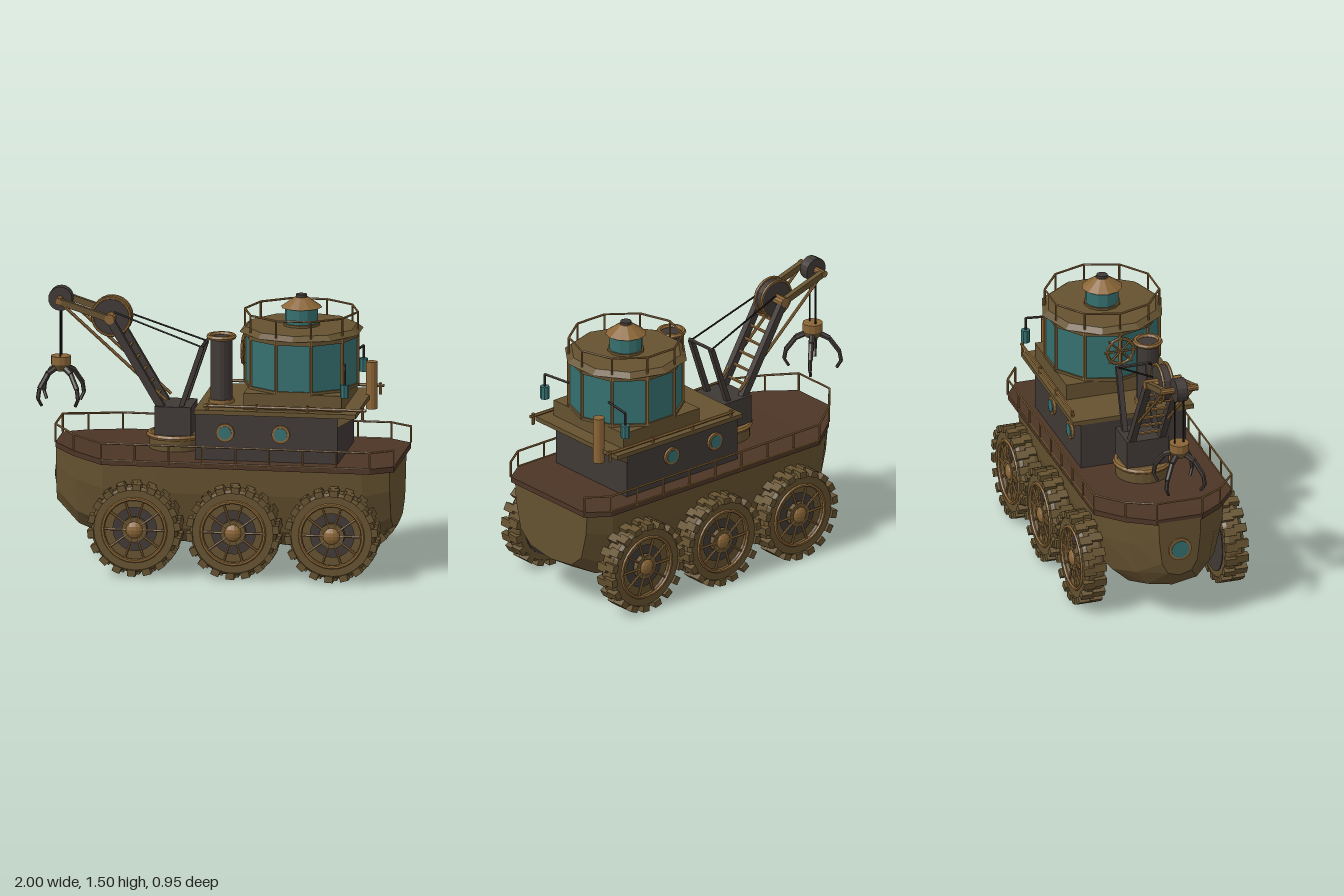
import * as THREE from 'three';

const M = {};
for (const [name, color] of Object.entries({
  bronze: 0x655230, brass: 0x8a6536, iron: 0x403936, deckBrown: 0x4c3526, glass: 0x35706f, cable: 0x1f1c1a,
})) { M[name] = new THREE.MeshStandardMaterial({ color }); M[name].name = name; }

const V = (x, y, z) => new THREE.Vector3(x, y, z);
function flat(g) {
  const f = g.index ? g.toNonIndexed() : g;
  f.computeVertexNormals();
  return f;
}
function add(parent, name, geo, mat, x = 0, y = 0, z = 0) {
  const m = new THREE.Mesh(flat(geo), mat);
  m.name = name;
  m.position.set(x, y, z);
  parent.add(m);
  return m;
}
const box = (p, n, mat, x0, x1, y0, y1, z0, z1) =>
  add(p, n, new THREE.BoxGeometry(x1 - x0, y1 - y0, z1 - z0), mat, (x0 + x1) / 2, (y0 + y1) / 2, (z0 + z1) / 2);
const cyl = (p, n, mat, x, z, y0, y1, rBottom, rTop = rBottom, sides = 12) =>
  add(p, n, new THREE.CylinderGeometry(rTop, rBottom, y1 - y0, sides), mat, x, (y0 + y1) / 2, z);
// straight round bar between two points
function rod(p, n, mat, a, b, r, sides = 6) {
  const d = b.clone().sub(a);
  const m = add(p, n, new THREE.CylinderGeometry(r, r, d.length(), sides), mat);
  m.position.copy(a).add(b).multiplyScalar(0.5);
  m.quaternion.setFromUnitVectors(V(0, 1, 0), d.normalize());
  return m;
}
// disc whose axis is z
function disc(p, n, mat, x, y, z, r, w, sides = 16) {
  const m = add(p, n, new THREE.CylinderGeometry(r, r, w, sides), mat, x, y, z);
  m.rotation.x = Math.PI / 2;
  return m;
}
// closed skin over cross-sections that advance along +x
function loft(sections) {
  const n = sections[0].length, idx = [], last = (sections.length - 1) * n;
  for (let i = 0; i < sections.length - 1; i++) for (let j = 0; j < n; j++) {
    const k = (j + 1) % n, a = i * n + j, b = a + n, d = i * n + k, c = d + n;
    idx.push(a, d, c, a, c, b);
  }
  for (let j = 1; j < n - 1; j++) idx.push(0, j + 1, j, last, last + j, last + j + 1);
  const g = new THREE.BufferGeometry();
  g.setAttribute('position', new THREE.Float32BufferAttribute(sections.flat(2), 3));
  g.setIndex(idx);
  return g;
}

function buildHull(root) {
  const g = new THREE.Group(); g.name = 'hull'; root.add(g);
  const half = [[1, 0], [0.97, 0.33], [0.84, 0.75], [0.56, 0.94], [0, 1]];
  const profile = [...half, ...half.slice(0, 4).reverse().map(([w, d]) => [-w, d])];
  // x, half width, top, bottom
  const stations = [[-0.89, 0.12, 0.64, 0.31], [-0.76, 0.25, 0.625, 0.19], [-0.6, 0.35, 0.61, 0.14], [-0.3, 0.365, 0.605, 0.12],
    [0.67, 0.365, 0.605, 0.12], [0.82, 0.355, 0.605, 0.15], [0.965, 0.305, 0.605, 0.235]];
  add(g, 'hullShell', loft(stations.map(([x, w, t, b]) => profile.map(([u, d]) => [x, t - (t - b) * d, u * w]))), M.bronze);
  // deck slab with a raised bow: x, half width, top
  const deck = [[-0.89, 0.13, 0.66], [-0.77, 0.27, 0.645], [-0.6, 0.393, 0.628], [0.87, 0.393, 0.622], [0.99, 0.31, 0.622]];
  add(g, 'deck', loft(deck.map(([x, w, t]) => [[x, t, w], [x, t - 0.03, w], [x, t - 0.03, -w], [x, t, -w]])), M.deckBrown);
  // deck railing
  const h = 0.09, r = 0.006;
  for (const s of [1, -1]) {
    const at = ([x, w, t], up) => V(x, t + up, s * w);
    deck.forEach((p, i) => {
      rod(g, 'railPost', M.brass, at(p, 0), at(p, i ? h : h + 0.01), r);
      if (i) rod(g, 'deckRail', M.brass, at(deck[i - 1], i === 1 ? h + 0.01 : h), at(p, h), r);
    });
    for (let i = 1; i < 8; i++) {
      const x = -0.6 + i * 1.47 / 8;
      rod(g, 'railPost', M.brass, V(x, 0.61, s * 0.393), V(x, 0.714, s * 0.393), r);
    }
    rod(g, 'deckEdgeTrim', M.brass, V(-0.6, 0.625, s * 0.393), V(0.87, 0.622, s * 0.393), 0.005);
  }
  rod(g, 'bowRail', M.brass, V(-0.89, 0.76, 0.13), V(-0.89, 0.76, -0.13), r);
  // bow porthole
  disc(g, 'bowPortholeRing', M.brass, -0.89, 0.47, 0, 0.065, 0.02).rotation.set(0, 0, Math.PI / 2);
  disc(g, 'bowPortholeGlass', M.glass, -0.9, 0.47, 0, 0.05, 0.009).rotation.set(0, 0, Math.PI / 2);
}

function buildWheel(root, x, s) {
  const w = new THREE.Group(); w.name = 'wheel';
  w.position.set(x, 0.257, 0);
  if (s < 0) w.rotation.y = Math.PI;
  root.add(w);
  // open-faced tyre profile turned around the axle
  const tyre = [[0.17, 0.345], [0.225, 0.345], [0.237, 0.365], [0.237, 0.435], [0.222, 0.455], [0.17, 0.455], [0.165, 0.42], [0.165, 0.36], [0.17, 0.345]];
  add(w, 'tyre', new THREE.LatheGeometry(tyre.map(([r, z]) => new THREE.Vector2(r, z)), 28), M.bronze).rotation.x = Math.PI / 2;
  for (let i = 0; i < 18; i++) {
    const t = i / 18 * Math.PI * 2;
    for (const [z, o] of [[0.375, 0], [0.435, 0.06]]) {
      const b = add(w, 'tread', new THREE.BoxGeometry(0.045, 0.035, 0.07), M.bronze);
      b.position.set(Math.sin(t + o) * 0.238, Math.cos(t + o) * 0.238, z);
      b.rotation.z = -t - o;
    }
  }
  disc(w, 'innerDisc', M.iron, 0, 0, 0.375, 0.19, 0.07, 28);
  add(w, 'rim', new THREE.TorusGeometry(0.172, 0.01, 6, 28), M.brass, 0, 0, 0.455);
  add(w, 'wheelFace', new THREE.RingGeometry(0.12, 0.17, 28), M.bronze, 0, 0, 0.43);
  for (let i = 0; i < 10; i++) {
    const t = i / 10 * Math.PI * 2;
    rod(w, 'spoke', M.brass, V(0, 0, 0.45), V(Math.cos(t) * 0.172, Math.sin(t) * 0.172, 0.45), 0.007);
  }
  disc(w, 'hubPlate', M.bronze, 0, 0, 0.44, 0.07, 0.03);
  add(w, 'hubCap', new THREE.SphereGeometry(0.052, 14, 8), M.brass, 0, 0, 0.44).scale.z = 0.65;
  disc(w, 'axle', M.iron, 0, 0, 0.28, 0.05, 0.16);
}

function buildCabin(root) {
  const g = new THREE.Group(); g.name = 'superstructure'; root.add(g);
  box(g, 'lowerHouse', M.iron, -0.1, 0.68, 0.61, 0.885, -0.3, 0.3);
  box(g, 'houseRoof', M.bronze, -0.1, 0.785, 0.885, 0.91, -0.345, 0.345);
  const wedge = new THREE.Shape([[0.68, 0.825], [0.78, 0.885], [0.68, 0.885]].map(p => new THREE.Vector2(...p)));
  add(g, 'sternAwning', new THREE.ExtrudeGeometry(wedge, { depth: 0.62, bevelEnabled: false }), M.bronze, 0, 0, -0.31);
  box(g, 'cabinPlinth', M.bronze, 0.165, 0.7, 0.91, 1.0, -0.295, 0.295);
  for (const s of [1, -1]) {
    rod(g, 'roofPipe', M.brass, V(-0.05, 0.93, s * 0.325), V(0.84, 0.93, s * 0.325), 0.009);
    for (const x of [-0.03, 0.24, 0.52, 0.82]) rod(g, 'pipeBracket', M.brass, V(x, x > 0.8 ? 0.88 : 0.9, s * 0.325), V(x, 0.945, s * 0.325), 0.009);
    for (const x of [0.065, 0.37]) {
      disc(g, 'portholeRing', M.brass, x, 0.78, s * 0.303, 0.05, 0.024);
      disc(g, 'portholeGlass', M.glass, x, 0.78, s * 0.314, 0.036, 0.009);
    }
    // hanging lantern
    rod(g, 'lanternArm', M.iron, V(0.7, 1.145, s * 0.17), V(0.725, 1.145, s * 0.34), 0.007);
    rod(g, 'lanternHanger', M.iron, V(0.725, 1.145, s * 0.34), V(0.725, 1.07, s * 0.34), 0.007);
    cyl(g, 'lantern', M.glass, 0.725, s * 0.34, 1.003, 1.075, 0.025, 0.025, 8);
  }
  // ten-sided glazed wheelhouse
  const cx = 0.437, R = 0.31, at = (i, r, y) => V(cx + Math.cos(i * Math.PI / 5) * r, y, Math.sin(i * Math.PI / 5) * r);
  const ring = (n, mat, y0, y1, r) => { cyl(g, n, mat, cx, 0, y0, y1, r, r, 10).rotation.y = Math.PI / 2; };
  ring('windows', M.glass, 1.01, 1.28, R - 0.004);
  ring('windowSill', M.bronze, 0.998, 1.015, R + 0.006);
  ring('windowHead', M.bronze, 1.27, 1.3, R + 0.006);
  for (let i = 0; i < 10; i++) {
    rod(g, 'windowPost', M.brass, at(i, R, 1.0), at(i, R, 1.3), 0.009);
    rod(g, 'roofRailPost', M.brass, at(i, R, 1.31), at(i, R, 1.405), 0.006);
    rod(g, 'roofRail', M.brass, at(i, R, 1.405), at(i + 1, R, 1.405), 0.006);
  }
  cyl(g, 'cabinRoof', M.bronze, cx, 0, 1.298, 1.325, 0.34, 0.305, 10);
  // lookout on the roof
  cyl(g, 'lookoutGlass', M.glass, cx, 0, 1.32, 1.43, 0.09, 0.09, 12);
  cyl(g, 'lookoutBase', M.bronze, cx, 0, 1.32, 1.338, 0.1);
  cyl(g, 'lookoutRoof', M.brass, cx, 0, 1.425, 1.48, 0.112, 0.035);
  cyl(g, 'lookoutCap', M.iron, cx, 0, 1.478, 1.495, 0.03);
  // hand wheel on the forward side
  const helm = new THREE.Group(); helm.name = 'handWheel'; g.add(helm);
  helm.position.set(0.122, 1.18, 0); helm.rotation.y = Math.PI / 2;
  add(helm, 'handWheelRim', new THREE.TorusGeometry(0.075, 0.009, 6, 18), M.brass);
  for (let i = 0; i < 4; i++) {
    const t = i * Math.PI / 4, a = V(Math.cos(t) * 0.092, Math.sin(t) * 0.092, 0);
    rod(helm, 'handWheelSpoke', M.brass, a, a.clone().negate(), 0.006);
  }
  // funnel and stern exhaust
  cyl(g, 'funnel', M.iron, 0.017, 0.12, 0.9, 1.27, 0.06, 0.06, 16);
  cyl(g, 'funnelFoot', M.brass, 0.017, 0.12, 0.908, 0.93, 0.07, 0.07, 16);
  add(g, 'funnelLip', new THREE.TorusGeometry(0.068, 0.014, 6, 18), M.brass, 0.017, 1.272, 0.12).rotation.x = Math.PI / 2;
  cyl(g, 'exhaustPipe', M.brass, 0.792, -0.195, 0.83, 1.09, 0.032);
}

function buildCrane(root) {
  const g = new THREE.Group(); g.name = 'crane'; root.add(g);
  cyl(g, 'turntable', M.bronze, -0.25, 0, 0.62, 0.69, 0.145, 0.145, 20);
  add(g, 'turntableRing', new THREE.TorusGeometry(0.145, 0.016, 6, 24), M.brass, -0.25, 0.7, 0).rotation.x = Math.PI / 2;
  cyl(g, 'turntableTop', M.bronze, -0.25, 0, 0.69, 0.712, 0.14, 0.14, 20);
  box(g, 'winchHouse', M.iron, -0.35, -0.15, 0.71, 0.87, -0.12, 0.12);
  const foot = V(-0.31, 0.85, 0), knee = V(-0.6, 1.34, 0), tip = V(-0.88, 1.43, 0), mast = V(-0.095, 1.2, 0);
  const side = (v, z) => V(v.x, v.y, z);
  const beam = (n, mat, a, b, w, t) => {
    const d = b.clone().sub(a), m = add(g, n, new THREE.BoxGeometry(w, d.length(), t), mat);
    m.position.copy(a).add(b).multiplyScalar(0.5);
    m.rotation.z = Math.atan2(-d.x, d.y);
  };
  for (const s of [0.085, -0.085]) {
    beam('lowerBoom', M.iron, side(foot, s), side(knee, s), 0.042, 0.035);
    beam('upperBoom', M.bronze, side(knee, s), side(tip, s), 0.034, 0.03);
    rod(g, 'boomStay', M.brass, side(tip, s), V(-0.29, 0.9, s), 0.009);
    beam('mastLeg', M.iron, V(-0.21, 0.86, s), side(mast, s), 0.026, 0.03);
    rod(g, 'backstay', M.cable, side(mast, s), V(-0.58, 1.37, s * 0.6), 0.005);
  }
  for (let i = 1; i < 7; i++) {
    const p = foot.clone().lerp(knee, i / 7.5);
    rod(g, 'boomRung', M.brass, side(p, -0.085), side(p, 0.085), 0.009);
  }
  rod(g, 'mastCrossbar', M.iron, side(mast, -0.1), side(mast, 0.1), 0.01);
  // sheaves
  for (const [p, r, n] of [[knee, 0.1, 'largeSheave'], [tip, 0.066, 'tipSheave']]) {
    disc(g, n, M.iron, p.x, p.y, 0, r, 0.06, 18);
    rod(g, n + 'Axle', M.brass, side(p, -0.105), side(p, 0.105), r * 0.28, 10);
  }
  for (const z of [-0.026, 0.026]) add(g, 'sheaveRim', new THREE.TorusGeometry(0.104, 0.009, 6, 24), M.brass, knee.x, knee.y, z);
  // grab
  for (const z of [-0.025, 0.025]) rod(g, 'hoistCable', M.cable, V(-0.88, 1.42, z), V(-0.88, 1.1, z), 0.005);
  cyl(g, 'grabHead', M.brass, -0.88, 0, 1.065, 1.11, 0.055);
  cyl(g, 'grabNeck', M.bronze, -0.88, 0, 1.03, 1.065, 0.04, 0.055);
  const claw = [[0.03, 1.05], [0.09, 1.02], [0.145, 0.945], [0.155, 0.89], [0.13, 0.85]];
  for (let k = 0; k < 4; k++) {
    const t = Math.PI / 4 + k * Math.PI / 2;
    const pts = claw.map(([r, y]) => V(-0.88 + Math.cos(t) * r, y, Math.sin(t) * r));
    for (let i = 1; i < pts.length; i++) rod(g, 'claw', M.iron, pts[i - 1], pts[i], 0.019 - i * 0.0025);
  }
}

export function createModel() {
  const root = new THREE.Group();
  root.name = 'amphibiousCraneBoat';
  buildHull(root);
  for (const x of [-0.41, 0.13, 0.67]) for (const s of [1, -1]) buildWheel(root, x, s);
  buildCabin(root);
  buildCrane(root);
  return root;
}
